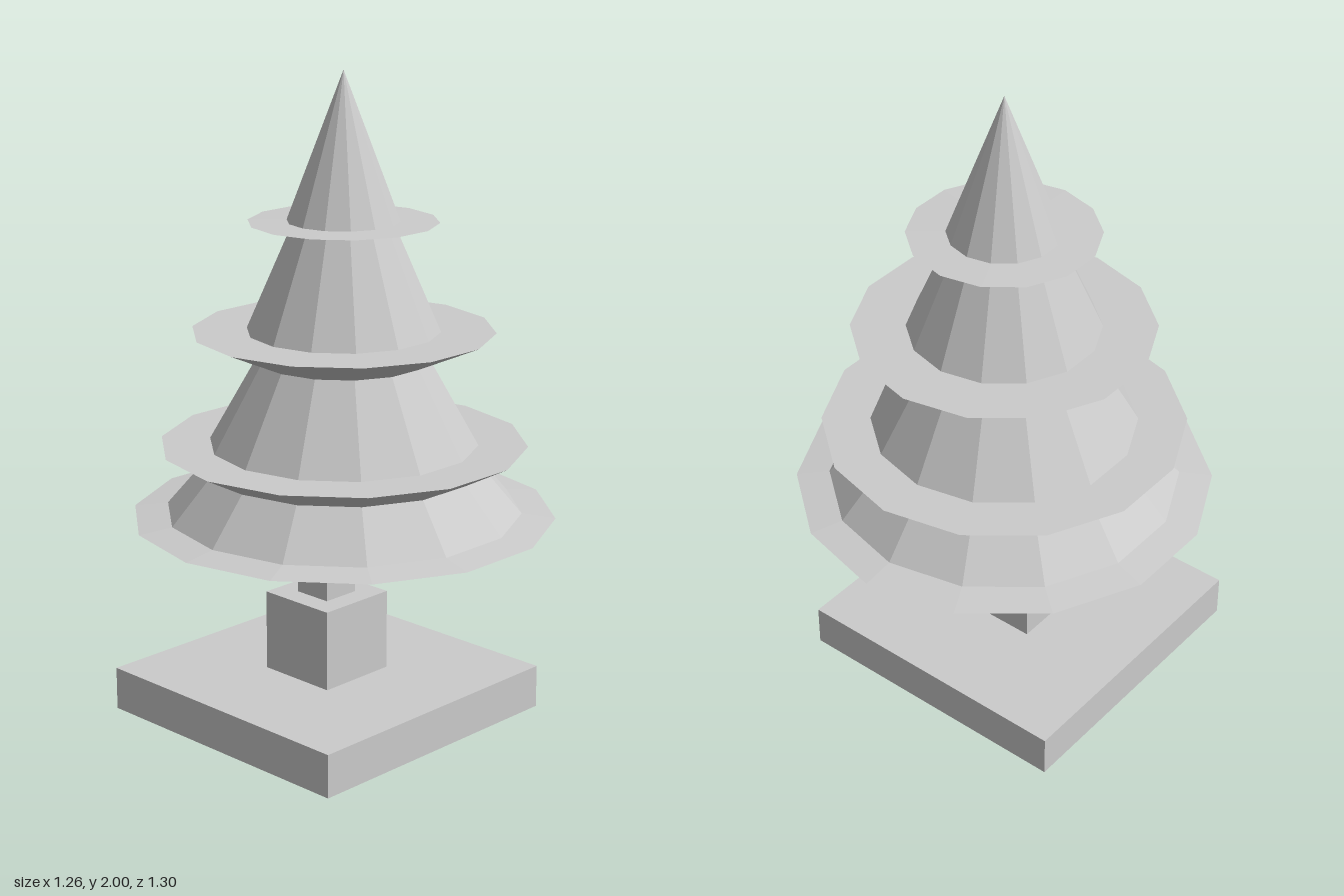
import * as THREE from 'three';

const SIDES = 14;

export function createModel() {
  const group = new THREE.Group();
  // Double-sided because the brims taper to paper-thin edges
  const material = new THREE.MeshStandardMaterial({
    color: 0xcccccc, flatShading: true, side: THREE.DoubleSide,
  });

  const add = (name, geometry) => {
    const mesh = new THREE.Mesh(geometry, material);
    mesh.name = name;
    group.add(mesh);
    return mesh;
  };

  // Square blocks sharing one slightly off-centre axis: [name, width, bottom, top]
  const blocks = [
    ['base', 0.93, 0, 0.135],
    ['trunkFoot', 0.264, 0.135, 0.387],
    ['trunk', 0.125, 0.387, 0.654],
  ];
  for (const [name, width, bottom, top] of blocks) {
    add(name, new THREE.BoxGeometry(width, top - bottom, width))
      .position.set(-0.037, (bottom + top) / 2, 0.037);
  }

  // Foliage: stacked cones, each standing on a flat-topped brim
  const profile = [
    [0, 0.653], [0.55, 0.653], [0.648, 0.646], [0.545, 0.659], // lowest brim
    [0.425, 0.8], [0.56, 0.871], [0.41, 0.871],   // second brim
    [0.262, 1.133], [0.459, 1.221], [0.293, 1.221], // third brim
    [0.15, 1.55], [0.287, 1.552], [0.17, 1.554],  // thin top brim
    [0, 2],
  ].map(([r, y]) => new THREE.Vector2(r, y));
  add('foliage', new THREE.LatheGeometry(profile, SIDES));

  return group;
}
